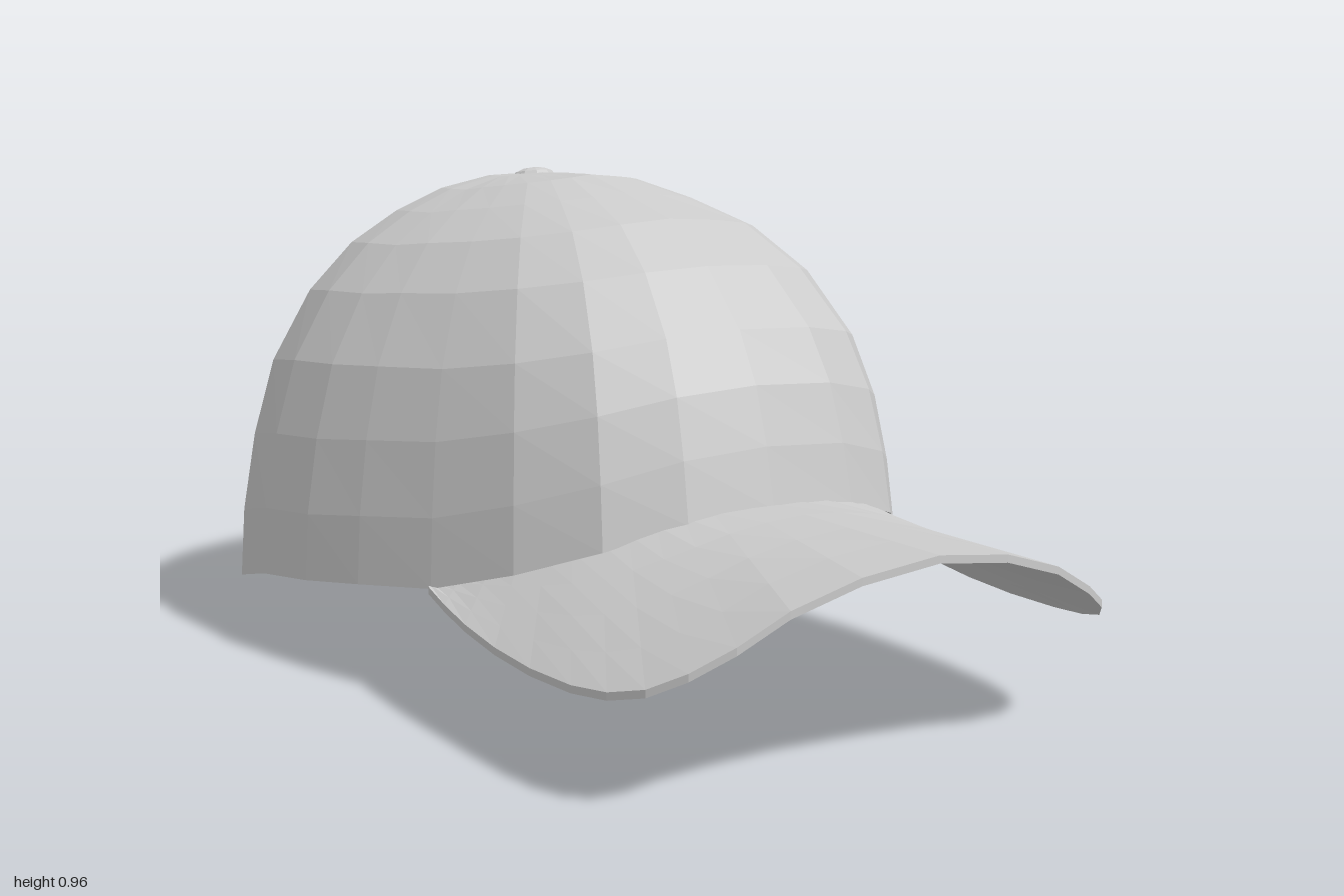
import * as THREE from 'three';

const AXIS_Z = -0.385, TOP_Y = 0.955;

// Right half of the dome's lower edge, front to back: [x, z, y]
const RIM = [
  [0, 0.53, 0.39], [0.18, 0.522, 0.38], [0.32, 0.46, 0.335], [0.43, 0.33, 0.28], [0.51, 0.15, 0.225],
  [0.575, -0.04, 0.2], [0.618, -0.2, 0.178], [0.637, -0.38, 0.155], [0.612, -0.58, 0.105], [0.51, -0.735, 0.07],
  [0.4, -0.825, 0.045], [0.285, -0.89, 0.02], [0.2, -0.922, 0.01], [0.1, -0.944, 0.003], [0, -0.95, 0],
];

// Meridians from button to rim: [share of radius, share of drop]
const FRONT = [[0.13, -0.008], [0.27, -0.013], [0.42, 0.04], [0.6, 0.11], [0.75, 0.25],
  [0.87, 0.44], [0.93, 0.61], [0.97, 0.8], [1, 1]];
const CORNER = [[0.15, 0], [0.3, 0.011], [0.45, 0.062], [0.62, 0.14], [0.765, 0.265],
  [0.885, 0.45], [0.945, 0.625], [0.98, 0.815], [1, 1]];
const SIDE = [[0.15, 0.006], [0.31, 0.036], [0.46, 0.09], [0.61, 0.167], [0.75, 0.283],
  [0.875, 0.455], [0.943, 0.64], [0.985, 0.83], [1, 1]];
const EDGE = [[0.15, 0.02], [0.32, 0.065], [0.45, 0.115], [0.56, 0.17], [0.76, 0.312],
  [0.91, 0.488], [0.995, 0.61], [1.045, 0.75], [1, 1]];
const BACK = [[0.15, 0.02], [0.331, 0.065], [0.44, 0.108], [0.54, 0.155], [0.766, 0.311],
  [0.927, 0.485], [1.023, 0.602], [1.075, 0.74], [1, 1]];
const KEYS = [[0, FRONT], [3, CORNER], [6, SIDE], [8, SIDE], [11, EDGE], [14, BACK]];

// Columns of the crown: [position along RIM, height of the cut]; the last ones form the rear arch
const COLUMNS = [...RIM.slice(0, 12).map((_, i) => [i, 0]), [11.35, 0.13], [11.85, 0.2], [13, 0.25], [14, 0.26]];

const lerp = THREE.MathUtils.lerp;
const LEVELS = FRONT.length;
const LAST = COLUMNS.length - 1;
const mix = (a, b, t) => a.map((v, n) => lerp(v, b[n], t));

function rimAt(column) {
  const i = Math.min(Math.floor(column), RIM.length - 2);
  return mix(RIM[i], RIM[i + 1], column - i);
}

function meridianAt(column) {
  const k = KEYS.findIndex((key, i) => i > 0 && column <= key[0]);
  const [c0, p0] = KEYS[k - 1], [c1, p1] = KEYS[k];
  return p0.map((pair, l) => mix(pair, p1[l], (column - c0) / (c1 - c0)));
}

// Ring of the dome at a level, trimmed at the cut (or at a higher line above it)
function ring(level, shrink, drop, trim = (y) => y) {
  return Array.from({ length: 2 * LAST }, (_, i) => {
    const [column, cut] = COLUMNS[i <= LAST ? i : 2 * LAST - i];
    const [x, z, y] = rimAt(column), profile = meridianAt(column);
    const limit = (TOP_Y - trim(Math.max(cut, y))) / (TOP_Y - y);
    let [f, h] = profile[level];
    if (h > limit) {
      const k = profile.findIndex((pair) => pair[1] > limit);
      const a = profile[k - 1], b = profile[k];
      [f, h] = mix(a, b, (limit - a[1]) / (b[1] - a[1]));
    }
    return new THREE.Vector3(
      (i <= LAST ? x : -x) * f * shrink,
      lerp(TOP_Y, y, h) - drop * (1 - h),
      AXIS_Z + (z - AXIS_Z) * f * shrink);
  });
}

// Skin rows of points; closed joins the last column to the first
function skin(name, rows, closed, side = THREE.FrontSide) {
  const n = rows[0].length, position = rows.flat().flatMap((p) => [p.x, p.y, p.z]), index = [];
  for (let r = 0; r < rows.length - 1; r++) {
    for (let c = 0; c < (closed ? n : n - 1); c++) {
      const d = (c + 1) % n;
      const a = r * n + c, b = a + n, e = (r + 1) * n + d, f = r * n + d;
      index.push(a, b, e, a, e, f);
    }
  }
  const geometry = new THREE.BufferGeometry();
  geometry.setAttribute('position', new THREE.Float32BufferAttribute(position, 3));
  geometry.setIndex(index);
  geometry.computeVertexNormals();
  return part(name, geometry, side);
}

function part(name, geometry, side = THREE.FrontSide) {
  const mesh = new THREE.Mesh(geometry,
    new THREE.MeshStandardMaterial({ color: 0xcccccc, flatShading: true, side }));
  mesh.name = name;
  return mesh;
}

// Outer shell, rim thickness and lining as one skin
function crown() {
  const apex = (y) => Array.from({ length: 2 * LAST }, () => new THREE.Vector3(0, y, AXIS_Z));
  const rows = [apex(TOP_Y)];
  for (let l = 0; l < LEVELS; l++) rows.push(ring(l, 1, 0));
  for (let l = LEVELS - 1; l >= 0; l--) rows.push(ring(l, 0.96, 0.025));
  rows.push(apex(TOP_Y - 0.025));
  return skin('crown', rows, true);
}

// Band sewn inside the lower edge, taller beside the rear arch
function sweatband() {
  const top = (y) => Math.max(y + 0.12, 0.22);
  const rows = [0, 0.5, 1].map((t) => ring(LEVELS - 1, 0.945, 0, (y) => lerp(y, top(y), t)));
  return skin('sweatband', rows, true, THREE.DoubleSide);
}

// Curved visor spanning from the crown's front edge to its rounded outline
function brim() {
  const outline = [[0, 0.998, 0.405], [0.25, 0.98, 0.357], [0.4, 0.945, 0.275], [0.485, 0.86, 0.217],
    [0.52, 0.72, 0.192], [0.53, 0.5, 0.188], [0.528, 0.3, 0.207], [0.515, 0.15, 0.23]];
  const curve = (half) => {
    const pts = half.map(([x, z, y]) => new THREE.Vector3(x, y, z));
    const mirrored = pts.slice(1).reverse().map((p) => new THREE.Vector3(-p.x, p.y, p.z));
    return new THREE.CatmullRomCurve3([...mirrored, ...pts]).getPoints(24);
  };
  const inner = curve(RIM.slice(0, 5).map(([x, z, y]) => [x * 0.95, z - 0.03, y + 0.008]));
  const outer = curve(outline);
  const steps = [0, 0.25, 0.5, 0.75, 1];
  const row = (t, thickness) => inner.map((p, i) => {
    const q = p.clone().lerp(outer[i], t);
    q.y -= thickness;
    return q;
  });
  const rows = [...steps.map((t) => row(t, 0)), ...steps.slice().reverse().map((t) => row(t, 0.014))];
  return skin('brim', [...rows, row(0, 0)], false);
}

// One half of the closing strap: fixed at x = -0.3, round tab at x = 0.15
function strap(name, inset, mirror) {
  const to = 0.15, radius = 0.05, thick = 0.01;
  const stations = [-0.3, -0.22, -0.14, -0.06, 0.02, 0.1, 0.12, 0.135, 0.145, to];
  const rows = stations.map((s) => {
    const d = Math.max(0, s - (to - radius));
    const half = 0.065 - radius + Math.sqrt(Math.max(0, radius * radius - d * d));
    const at = (v, depth) => new THREE.Vector3(
      mirror * s,
      0.068 + 0.2 * s * s + v * half,
      -0.987 + 1.15 * s * s - v * 0.012 + depth);
    return [at(1, inset), at(-1, inset), at(-1, inset + thick), at(1, inset + thick)];
  });
  const cap = (r) => {
    const mid = r.reduce((sum, p) => sum.add(p), new THREE.Vector3()).divideScalar(4);
    return r.map(() => mid.clone());
  };
  const all = [cap(rows[0]), ...rows, cap(rows[rows.length - 1])];
  return skin(name, mirror > 0 ? all : all.reverse(), true);
}

export function createModel() {
  const group = new THREE.Group();
  group.name = 'cap';
  group.add(crown(), sweatband(), brim());
  group.add(strap('innerStrap', 0.012, 1), strap('outerStrap', 0, -1));

  // Low button on the crown's peak
  const button = part('button', new THREE.SphereGeometry(0.046, 10, 6));
  button.scale.y = 0.4;
  button.position.set(0, 0.947, AXIS_Z);
  button.rotation.x = -0.15;
  group.add(button);
  return group;
}
